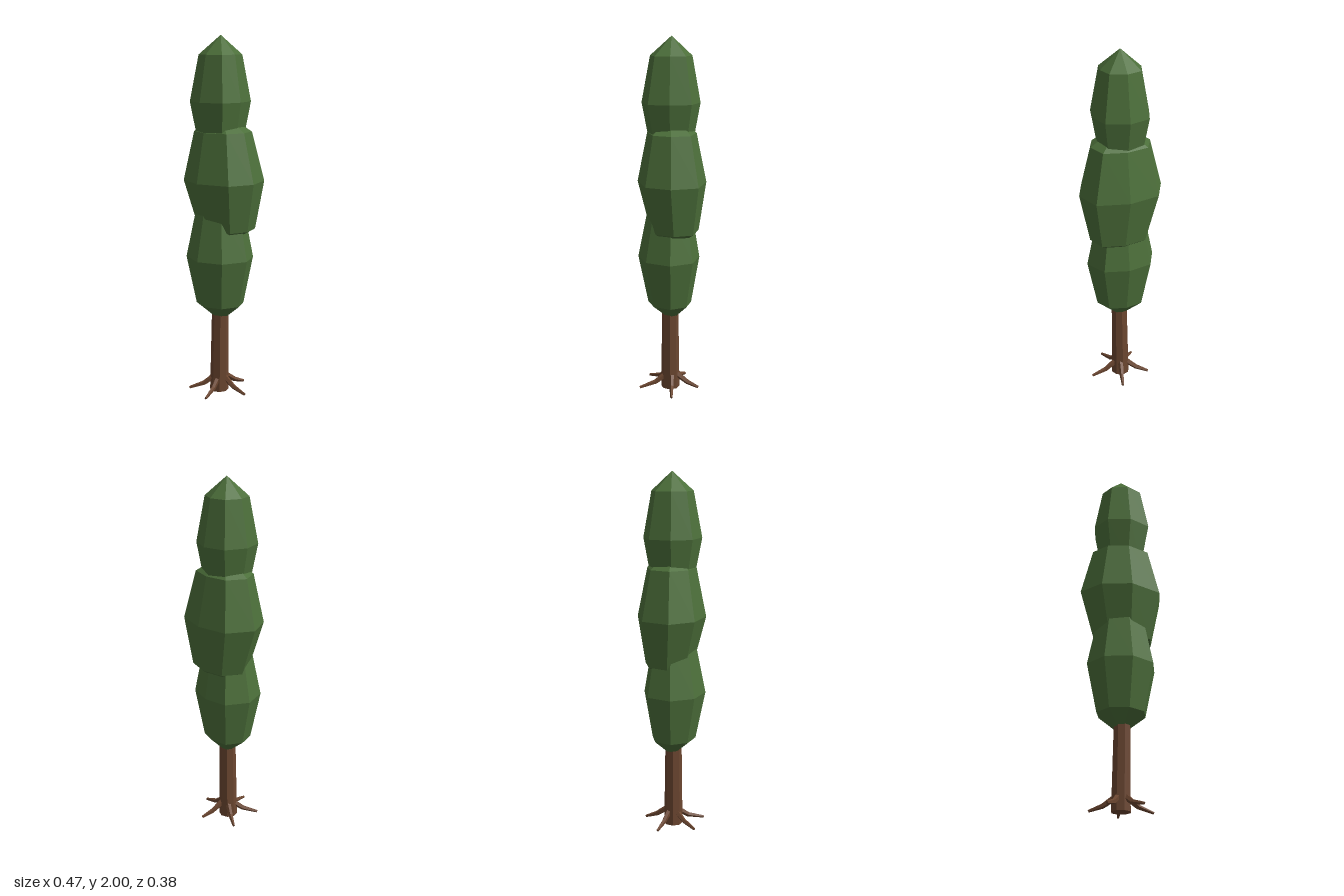
import * as THREE from 'three';

const leaf = new THREE.MeshStandardMaterial({ color: 0x4c6f3a });
leaf.name = 'leaf green';
const bark = new THREE.MeshStandardMaterial({ color: 0x6b4630 });
bark.name = 'bark brown';

// Facet a geometry and wrap it in a named mesh
function facet(name, geometry, material) {
  const flat = geometry.toNonIndexed();
  flat.computeVertexNormals();
  const mesh = new THREE.Mesh(flat, material);
  mesh.name = name;
  return mesh;
}

// Move every vertex of a geometry by a rule
function reshape(geometry, rule) {
  const p = geometry.attributes.position;
  const v = new THREE.Vector3();
  for (let i = 0; i < p.count; i++) {
    rule(v.fromBufferAttribute(p, i), i);
    p.setXYZ(i, v.x, v.y, v.z);
  }
  return geometry;
}

// Eight-sided leaf mass: widest outline as [x, z], running from -x through +z
function foliage(name, centreY, halfHeight, outline, lowerShift = [0, 0]) {
  const geometry = reshape(new THREE.SphereGeometry(1, 8, 4), (v, i) => {
    const row = Math.floor(i / 9);
    const [x, z] = outline[(i % 9) % 8];
    const spread = [0, 0.71, 1, 0.71, 0][row];
    const shift = row === 3 ? lowerShift : [0, 0];
    v.set(x * spread + shift[0], centreY + v.y * halfHeight, z * spread + shift[1]);
  });
  return facet(name, geometry, leaf);
}

// Tapering root that leaves the trunk and bends flat along the ground
function root(angle, length) {
  const path = [[0.025, 0.085, 0.017], [0.095, 0.037, 0.013], [length, 0.012, 0.007]];
  const geometry = reshape(new THREE.CylinderGeometry(1, 1, 2, 5, 2), (v) => {
    const [out, up, r] = path[Math.round(v.y) + 1];
    v.set(out - v.x * r * 0.45, up - v.x * r, v.z * r);
  });
  const mesh = facet('root', geometry, bark);
  mesh.rotation.y = -THREE.MathUtils.degToRad(angle);
  return mesh;
}

export function createModel() {
  const tree = new THREE.Group();
  tree.name = 'tree';

  // Trunk, leaning very slightly
  const trunk = reshape(new THREE.CylinderGeometry(0.046, 0.053, 0.5, 8), (v) => {
    v.x += v.y * 0.014;
    v.y += 0.25;
    v.z += 0.008;
  });
  tree.add(facet('trunk', trunk, bark));

  // Roots
  const roots = new THREE.Group();
  roots.name = 'roots';
  [[-2, 0.18], [73, 0.19], [132, 0.18], [206, 0.168], [284, 0.16]]
    .forEach(([angle, length]) => roots.add(root(angle, length)));
  tree.add(roots);

  // Three stacked leaf masses
  tree.add(
    foliage('lowerFoliage', 0.79, 0.38, [
      [-0.195, 0], [-0.14, 0.13], [0, 0.187], [0.135, 0.135],
      [0.195, 0], [0.135, -0.12], [0, -0.155], [-0.135, -0.125],
    ]),
    foliage('middleFoliage', 1.22, 0.38, [
      [-0.237, -0.005], [-0.157, 0.13], [0, 0.187], [0.18, 0.132],
      [0.235, -0.005], [0.186, -0.15], [0.01, -0.19], [-0.165, -0.15],
    ], [0.015, -0.015]),
    foliage('upperFoliage', 1.65, 0.35, [
      [-0.163, 0.003], [-0.12, 0.115], [0, 0.162], [0.125, 0.12],
      [0.15, 0.005], [0.12, -0.11], [0, -0.155], [-0.12, -0.115],
    ]),
  );
  return tree;
}
